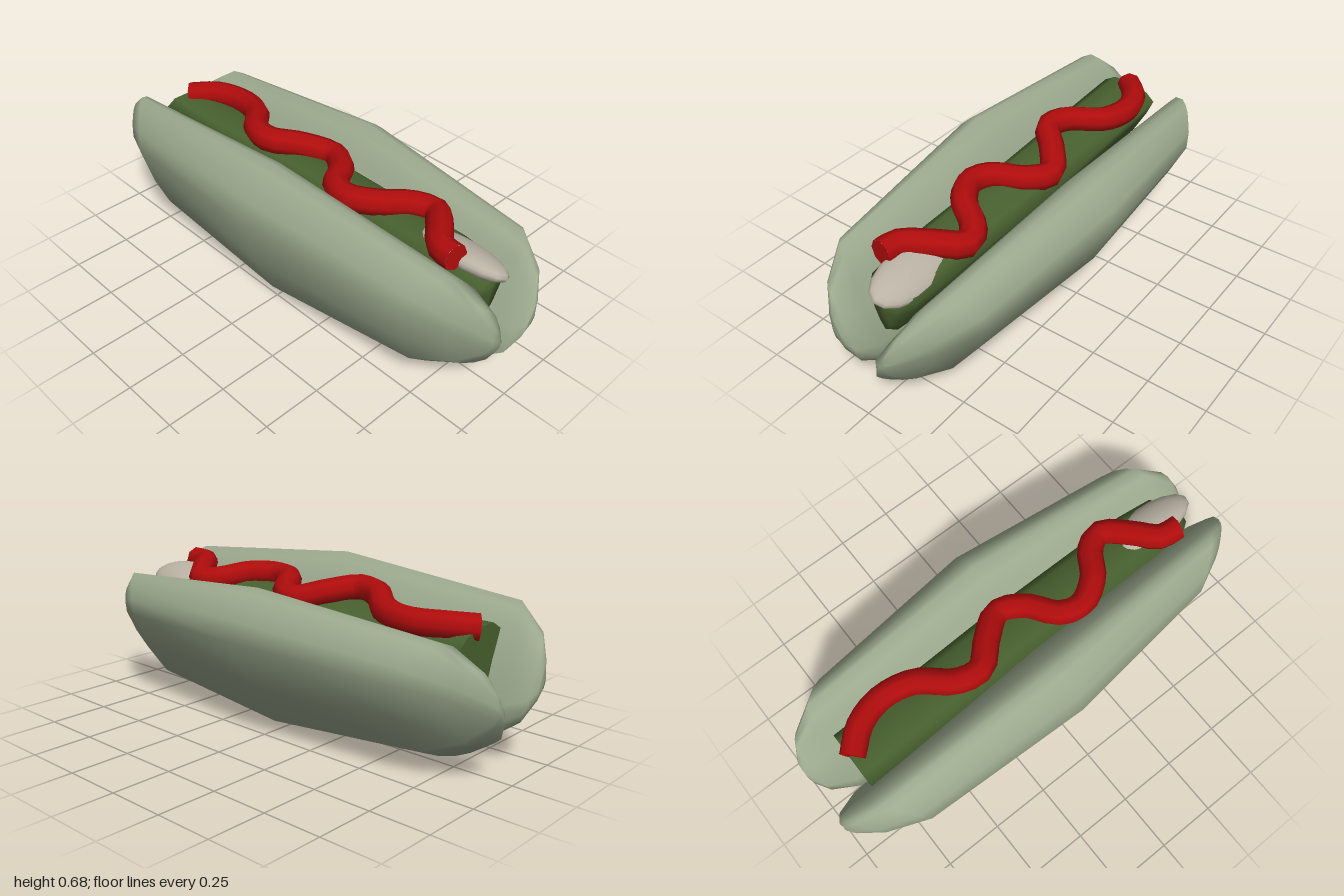
import * as THREE from 'three';

const paint = (color) => new THREE.MeshStandardMaterial({ color, roughness: 0.8 });

// Skin a list of equal-length rings (counterclockwise seen from +z, ordered by rising z).
// Caps get their own vertices when sharp, so their rim stays crisp.
function loft(rings, sharpStart = false) {
  const n = rings[0].length, pos = [], idx = [];
  rings.forEach((r) => r.forEach((p) => pos.push(...p)));
  for (let i = 0; i < rings.length - 1; i++) {
    for (let j = 0; j < n; j++) {
      const k = (j + 1) % n, a = i * n + j, b = i * n + k;
      idx.push(a, b, b + n, a, b + n, a + n);
    }
  }
  const cap = (ring, start, flip, sharp) => {
    let base = start;
    if (sharp) {
      base = pos.length / 3;
      ring.forEach((p) => pos.push(...p));
    }
    const c = pos.length / 3;
    for (let d = 0; d < 3; d++) pos.push(ring.reduce((s, p) => s + p[d], 0) / n);
    for (let j = 0; j < n; j++) {
      const a = base + j, b = base + ((j + 1) % n);
      if (flip) idx.push(c, b, a);
      else idx.push(c, a, b);
    }
  };
  cap(rings[0], 0, true, sharpStart);
  cap(rings[rings.length - 1], (rings.length - 1) * n, false, false);
  const g = new THREE.BufferGeometry();
  g.setAttribute('position', new THREE.Float32BufferAttribute(pos, 3));
  g.setIndex(idx);
  g.computeVertexNormals();
  return g;
}

// Bun half: one section shrunk towards slanted, rounded ends.
// out is the direction away from the filling, yaw turns the half a little.
function bunHalf(section, [cx, cy], out, yaw) {
  // z, scale, slant of the ring
  const half = [[0, 1, 0], [0.8, 0.78, 0.6], [0.93, 0.5, 0.35], [0.985, 0.22, 0.1], [0.997, 0.08, 0]];
  const stations = [...half.slice(1).reverse().map(([z, s, k]) => [-z, s, k]), ...half];
  return loft(stations.map(([z, s, k]) => section.map(([x, y]) => {
    const u = (x - cx) * out[0] + (y - cy) * out[1];
    const inward = 0.07 * (1 - s) * Math.sign(out[0]);
    return [cx + (x - cx) * s - inward + yaw * z, cy + (y - cy) * s, z - Math.sign(z) * k * u];
  })));
}

export function createModel() {
  const group = new THREE.Group();
  const add = (name, geometry, material) => {
    const mesh = new THREE.Mesh(geometry, material);
    mesh.name = name;
    group.add(mesh);
    return mesh;
  };
  const bread = paint(0x9caa8e), green = paint(0x48612f), red = paint(0xb00c0c), cream = paint(0xbab2a4);

  // Bun halves, leaning apart in a V
  const rightSection = [
    [-0.26, 0.683], [-0.30, 0.667], [-0.345, 0.625], [-0.387, 0.565], [-0.418, 0.48],
    [-0.365, 0.26], [-0.275, 0.063], [-0.20, 0.025], [-0.13, 0.013], [-0.06, 0.03],
    [-0.02, 0.12], [-0.013, 0.23], [-0.075, 0.42], [-0.14, 0.575], [-0.21, 0.655],
  ];
  const leftSection = [
    [0.28, 0.617], [0.22, 0.595], [0.165, 0.53], [0.085, 0.40], [0.0, 0.27],
    [-0.035, 0.12], [-0.06, 0.035], [-0.03, 0.01], [0.03, 0], [0.10, 0.008],
    [0.19, 0.042], [0.325, 0.23], [0.415, 0.422], [0.40, 0.503], [0.36, 0.565], [0.32, 0.6],
  ];
  add('rightBunHalf', bunHalf(rightSection, [-0.21, 0.345], [-0.94, -0.35], 0.035), bread);
  add('leftBunHalf', bunHalf(leftSection, [0.17, 0.31], [0.88, -0.47], 0), bread);

  // Wedge-shaped filling: flat at the back, rounded at the front
  const wedge = [
    [-0.13, 0.52], [-0.1, 0.44], [-0.055, 0.32], [-0.01, 0.25], [0.04, 0.31],
    [0.1, 0.42], [0.13, 0.49], [0.09, 0.525], [0, 0.55], [-0.08, 0.55],
  ];
  const stations = [[-0.82, 1, -0.03], [0, 1, 0], [0.65, 0.94, 0.01], [0.81, 0.82, 0.01], [0.87, 0.5, 0.01]];
  add('filling', loft(stations.map(([z, s, dx]) =>
    wedge.map(([x, y]) => [x * s + dx, 0.42 + (y - 0.42) * s, z])), true), green);

  // Pale tip resting on the front of the filling
  const tip = add('fillingTip', new THREE.SphereGeometry(1, 16, 12), cream);
  tip.scale.set(0.1, 0.05, 0.2);
  tip.rotation.z = -0.45;
  tip.position.set(0.02, 0.51, 0.725);

  // Wavy sauce line
  const path = [
    [-0.03, 0.545, -0.81], [0.05, 0.555, -0.72], [0.088, 0.555, -0.6], [0.06, 0.565, -0.46],
    [-0.05, 0.59, -0.33], [-0.07, 0.595, -0.23], [0.02, 0.575, -0.13], [0.093, 0.545, -0.02],
    [0.04, 0.555, 0.08], [-0.07, 0.57, 0.16], [-0.1, 0.575, 0.25], [-0.04, 0.575, 0.36],
    [0.07, 0.555, 0.44], [0.105, 0.545, 0.52], [0.02, 0.565, 0.61], [-0.07, 0.575, 0.69], [-0.083, 0.577, 0.77],
  ].map((p) => new THREE.Vector3(...p));
  const curve = new THREE.CatmullRomCurve3(path);
  const radius = 0.053, sides = 8;
  add('sauce', new THREE.TubeGeometry(curve, 48, radius, sides), red);
  for (const [t, sign] of [[0, -1], [1, 1]]) {
    const end = add('sauceEnd', new THREE.CircleGeometry(radius, sides), red);
    end.position.copy(curve.getPointAt(t));
    end.lookAt(end.position.clone().addScaledVector(curve.getTangentAt(t), sign));
  }
  return group;
}
